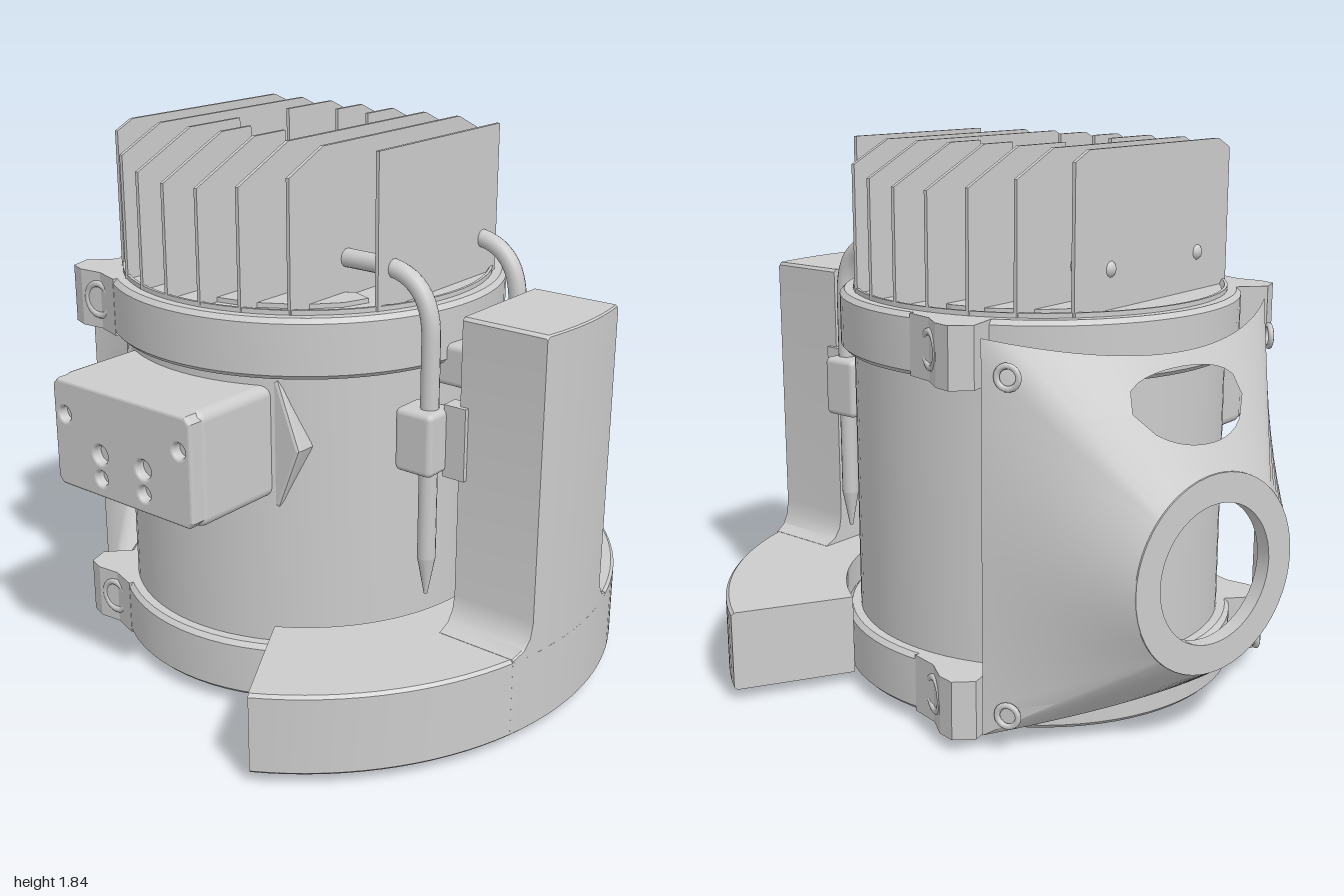
import * as THREE from 'three';
import { toCreasedNormals } from 'three/addons/utils/BufferGeometryUtils.js';
import { RoundedBoxGeometry } from 'three/addons/geometries/RoundedBoxGeometry.js';

const material = new THREE.MeshStandardMaterial({ color: 0xcccccc });
const sheet = new THREE.MeshStandardMaterial({ color: 0xcccccc, side: THREE.DoubleSide });

function add(parent, name, geometry, x = 0, y = 0, z = 0, mat = material) {
  const mesh = new THREE.Mesh(geometry, mat);
  mesh.name = name;
  mesh.position.set(x, y, z);
  parent.add(mesh);
  return mesh;
}

const lathe = (points, segments = 72) =>
  toCreasedNormals(new THREE.LatheGeometry(points.map(p => new THREE.Vector2(...p)), segments), 0.6);

const polygon = points => new THREE.Shape(points.map(p => new THREE.Vector2(...p)));

// Plan shape (x, z) extruded upwards
function slab(points, height) {
  const geo = new THREE.ExtrudeGeometry(polygon(points.map(([x, z]) => [x, -z])), { depth: height, bevelEnabled: false });
  return geo.rotateX(-Math.PI / 2);
}

// Skin over a row of cross-sections, each a closed list of [x, y, z]
function loft(sections, capped = true, openRow = -1) {
  const n = sections[0].length, last = sections.length - 1, index = [];
  for (let i = 0; i < last; i++) for (let j = 0; j < n; j++) {
    if (i === openRow) continue;
    const a = i * n + j, b = i * n + (j + 1) % n;
    index.push(a, b, a + n, b, b + n, a + n);
  }
  if (capped) for (let j = 1; j < n - 1; j++) {
    index.push(0, j + 1, j, last * n, last * n + j, last * n + j + 1);
  }
  const geo = new THREE.BufferGeometry();
  geo.setAttribute('position', new THREE.Float32BufferAttribute(sections.flat(2), 3));
  geo.setIndex(index);
  return toCreasedNormals(geo, 0.6);
}

// Chamfered block section in (radius, y)
const block = (r0, r1, y0, y1, c) =>
  [[r0, y0], [r1 - c, y0], [r1, y0 + c], [r1, y1 - c], [r1 - c, y1], [r0, y1]];

function buildHousing(g) {
  // Hollow shaft, bearing face, barrel and top boss in one turning
  add(g, 'barrel', lathe([
    [0.12, 1.4], [0.12, 0.1], [0.18, 0.01], [0.26, 0.01], [0.28, 0.06], [0.4, 0.06], [0.42, 0], [0.44, 0],
    [0.45, 0.02], [0.53, 0.02], [0.535, 0], [0.555, 0], [0.555, 0.045], [0.63, 0.045], [0.63, 1.365],
    [0.62, 1.365], [0.61, 1.35], [0.24, 1.35], [0.2, 1.38], [0.17, 1.4], [0.12, 1.4]]));
  for (let i = 0; i < 24; i++) {
    const a = i / 24 * Math.PI * 2;
    add(g, 'bearingBall', new THREE.SphereGeometry(0.02, 10, 8), 0.49 * Math.cos(a), 0.02, 0.49 * Math.sin(a));
  }
  // Clamp rings with lugs and screws on both sides
  for (const y of [0.04, 1.155]) {
    add(g, 'clampRing', lathe([[0.61, 0], [0.66, 0], [0.675, 0.015], [0.675, 0.18], [0.66, 0.195], [0.61, 0.195], [0.61, 0]]), 0, y, 0);
    for (const s of [1, -1]) {
      const pts = [[-0.48, 0.6], [-0.44, 0.665], [-0.38, 0.67], [-0.3, 0.64], [-0.2, 0.645], [-0.2, 0.5], [-0.4, 0.45]];
      add(g, 'clampLug', slab(s > 0 ? pts : pts.map(([x, z]) => [x, -z]).reverse(), 0.195), 0, y, 0);
      const screw = add(g, 'clampScrew', new THREE.TorusGeometry(0.055, 0.012, 8, 20), -0.31, y + 0.1, s * 0.642);
      screw.rotation.y = s * 0.25;
    }
  }
  // Raised segment plates on the top deck
  for (const turn of [0, Math.PI]) {
    const plate = add(g, 'deckPlate', slab([[0.4, -0.22], [0.46, -0.27], [0.52, -0.2], [0.56, -0.08],
      [0.56, 0.08], [0.52, 0.2], [0.46, 0.27], [0.4, 0.22]], 0.015), 0, 1.35, 0);
    plate.rotation.y = turn - Math.PI / 4;
  }
}

function buildBracket(g) {
  // Sheet cowl blending from a bowed rectangle to a round mouth, with an oval opening on top
  const N = 96, sections = [[], [], [], []];
  for (let j = 0; j < N; j++) {
    const a = j / N * Math.PI * 2, s = Math.sin(a), c = Math.cos(a), k = 1 / Math.max(Math.abs(s), Math.abs(c));
    const bow = 1 - (s * k) ** 2;
    const z0 = 0.58 * s * k, y0 = 0.68 + 0.63 * c * k * (1 - 0.12 * bow), x0 = -0.485 - 0.21 * bow;
    const d = Math.min(j, N - j) / 7, gap = 0.32 * Math.sqrt(Math.max(0, 1 - d * d));
    [0, 0.44 - gap, 0.44 + gap, 1].forEach((t, i) => sections[i].push(
      [x0 + (-0.89 - x0) * t, y0 + (0.58 + 0.32 * c - y0) * t, z0 + (0.32 * s - z0) * t]));
  }
  add(g, 'bracketCowl', loft(sections, false, 1), 0, 0, 0, sheet);
  const mouth = add(g, 'bracketMouth', lathe([[0.225, -0.05], [0.25, -0.05], [0.32, -0.012], [0.32, 0], [0.225, 0], [0.225, -0.05]], 48), -0.895, 0.58, 0, sheet);
  mouth.rotation.z = Math.PI / 2;
  // Screws fastening the sheet to the rings
  for (const y of [0.13, 1.2]) for (const s of [1, -1]) {
    const screw = add(g, 'bracketScrew', new THREE.TorusGeometry(0.035, 0.01, 8, 18), -0.555, y, s * 0.535);
    screw.rotation.y = s * -0.57;
  }
}

function buildFins(g) {
  // Tapered cooling fins, those crossing the shaft are split
  const top = v => 1.84 - Math.max(0, Math.abs(v) - 0.36) * 0.46;
  for (const u of [-0.46, -0.328, -0.193, -0.055, 0.083, 0.22, 0.357, 0.54]) {
    const end = Math.sqrt(0.63 ** 2 - u * u), knee = Math.min(0.36, end - 0.01);
    const inner = Math.abs(u) < 0.2 ? Math.sqrt(0.23 ** 2 - u * u) : 0;
    const spans = inner ? [[inner, knee, end], [-end, -knee, -inner]] : [[-end, -knee, knee, end]];
    for (const span of spans) {
      const outline = [[span[0], 1.345], [span[span.length - 1], 1.345], ...span.slice().reverse().map(v => [v, top(v)])];
      const geo = new THREE.ExtrudeGeometry(polygon(outline), { depth: 0.012, bevelEnabled: false });
      add(g, 'coolingFin', geo.rotateY(-Math.PI / 2), u + 0.006, 0, 0);
    }
  }
}

function buildTubes(g) {
  for (const v of [-0.245, 0.245]) {
    const p = (x, y) => new THREE.Vector3(x, y, v);
    const path = new THREE.CurvePath();
    path.add(new THREE.LineCurve3(p(-0.45, 1.475), p(0.5, 1.475)));
    path.add(new THREE.CubicBezierCurve3(p(0.5, 1.475), p(0.62, 1.475), p(0.69, 1.41), p(0.69, 1.27)));
    path.add(new THREE.LineCurve3(p(0.69, 1.27), p(0.69, 0.54)));
    add(g, 'coolantTube', new THREE.TubeGeometry(path, 90, 0.03, 14));
    add(g, 'tubeEnd', new THREE.SphereGeometry(0.03, 14, 10), -0.45, 1.475, v);
    add(g, 'tubeTip', new THREE.CylinderGeometry(0.03, 0.006, 0.13, 14), 0.69, 0.475, v);
    add(g, 'tubeClip', new RoundedBoxGeometry(0.14, 0.21, 0.13, 2, 0.02), 0.67, 0.945, v);
    add(g, 'clipFoot', new THREE.BoxGeometry(0.08, 0.24, 0.06), 0.77, 0.945, v * 0.8);
  }
}

function buildDuct(g) {
  // Low curved foot spanning 120 degrees
  const foot = [];
  for (let i = 0; i <= 40; i++) {
    const a = (i / 40 * 2 - 1) * Math.PI / 3;
    foot.push(block(0.68, 1.095, 0.04, 0.315, 0.01).map(([r, y]) => [r * Math.cos(a), y, r * Math.sin(a)]));
  }
  add(g, 'ductFoot', loft(foot));
  // Upright column with a fillet flaring into the foot
  const half = [[0, 1.35], [0.07, 1.35], [0.14, 1.35], [0.2, 1.35], [0.21, 1.34], [0.2105, 0.42], [0.22, 0.37], [0.245, 0.335], [0.29, 0.316]];
  const row = [...half.slice(1).reverse().map(([v, y]) => [-v, y]), ...half];
  add(g, 'ductColumn', loft(row.map(([v, top]) =>
    block(0.78, Math.sqrt(1.095 ** 2 - v * v), 0.045, top, 0.005).map(([x, y]) => [x, y, v]))));
  add(g, 'ductWeb', new RoundedBoxGeometry(0.2, 0.14, 0.24, 2, 0.02), 0.71, 1.15, 0);
}

function buildConnector(g) {
  // Terminal box: hexagonal flange, body and a front plate with sockets
  const flange = polygon([[-0.4, 0.925], [-0.32, 0.725], [0.32, 0.725], [0.4, 0.925], [0.32, 1.13], [-0.32, 1.13]]);
  add(g, 'connectorFlange', new THREE.ExtrudeGeometry(flange, { depth: 0.05, bevelSize: 0.012, bevelThickness: 0.015, bevelSegments: 2 }), 0, 0, 0.48);
  add(g, 'connectorBody', new RoundedBoxGeometry(0.61, 0.375, 0.38, 4, 0.035), 0, 0.933, 0.68);
  const face = polygon([[-0.275, 0.765], [0.275, 0.765], [0.29, 0.78], [0.29, 1.09], [0.275, 1.105], [-0.275, 1.105], [-0.29, 1.09], [-0.29, 0.78]]);
  const hole = (x, y, r) => face.holes.push(new THREE.Path().absarc(x, y, r, 0, Math.PI * 2, true));
  for (const s of [-1, 1]) {
    hole(s * 0.25, 1.0, 0.034);
    hole(s * 0.095, 0.9, 0.04);
    hole(s * 0.095, 0.82, 0.034);
  }
  add(g, 'connectorFace', new THREE.ExtrudeGeometry(face, { depth: 0.045, bevelSize: 0.01, bevelThickness: 0.012, bevelSegments: 3, curveSegments: 16 }), 0, 0, 0.845);
}

export function createModel() {
  const model = new THREE.Group();
  model.name = 'motorUnit';
  const straight = new THREE.Group(), turned = new THREE.Group();
  straight.name = 'housing';
  turned.name = 'attachments';
  turned.rotation.y = Math.PI / 12;
  for (const g of [straight, turned]) {
    g.position.set(-0.105, 0, 0.055);
    model.add(g);
  }
  buildHousing(straight);
  buildBracket(straight);
  buildFins(turned);
  buildTubes(turned);
  buildDuct(turned);
  buildConnector(turned);
  return model;
}
